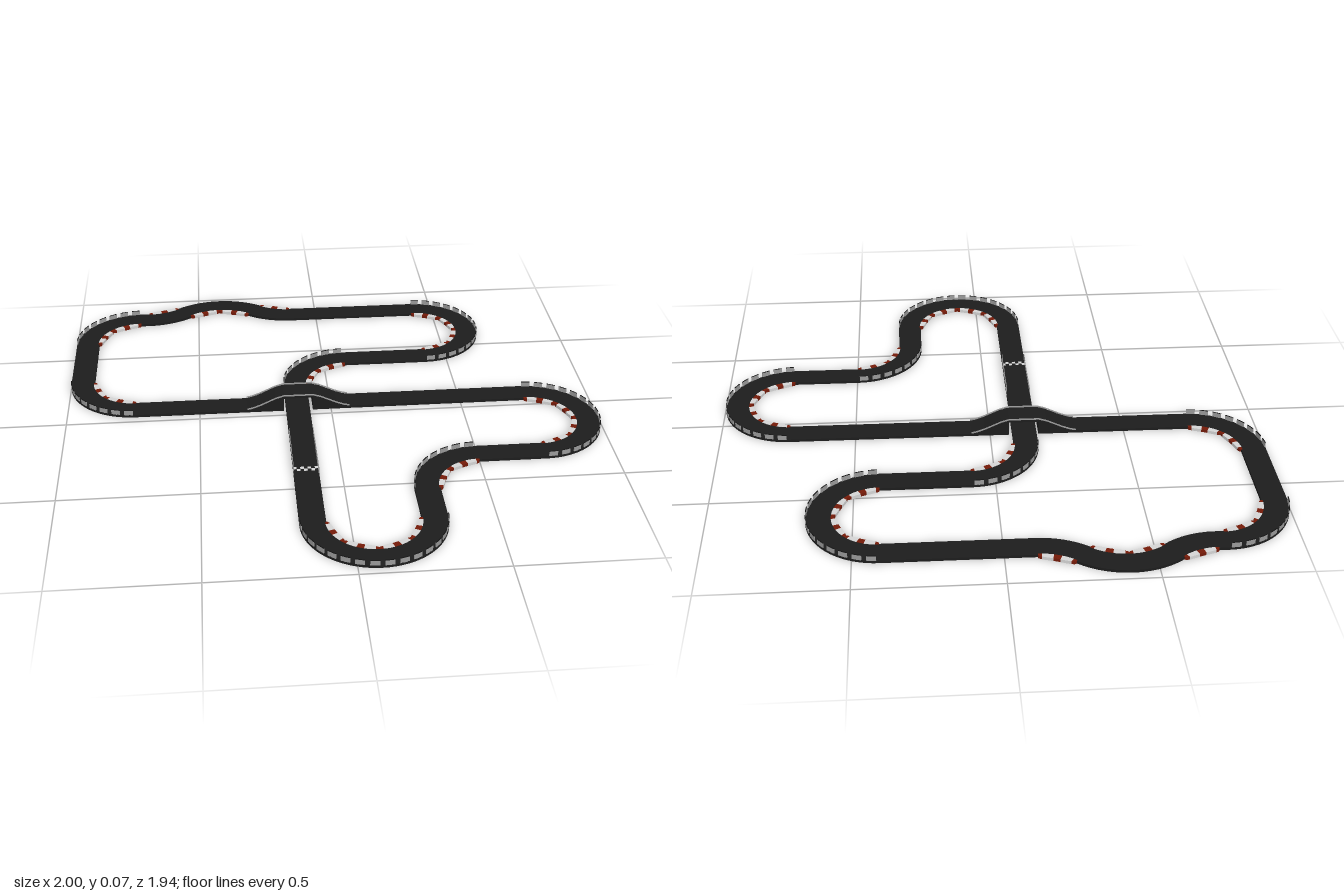
import * as THREE from 'three';
import { mergeGeometries } from 'three/addons/utils/BufferGeometryUtils.js';

const HALF = 0.0455;   // half track width
const THICK = 0.01;    // track thickness
const DEG = Math.PI / 180;

// Bends in driving order: centre x, centre z, radius, start and end angle, has barrier
const ARCS = [
  [0.085, -0.2, 0.212, 180, 270, true],
  [0.41, -0.618, 0.206, 90, -90, true],
  [-0.11, -1.074, 0.25, 90, 126.9, false],
  [-0.41, -0.674, 0.25, -53.1, -126.9, false],
  [-0.71, -1.074, 0.25, 53.1, 90, false],
  [-0.743, -0.612, 0.212, -90, -180, true],
  [-0.743, -0.29, 0.212, 180, 90, true],
  [0.745, 0.13, 0.208, -90, 90, true],
  [0.499, 0.55, 0.212, -90, -180, true],
  [0.08, 0.72, 0.207, 0, 180, true],
].map(([cx, cz, r, a0, a1, barrier]) => ({ cx, cz, r, a0, a1, barrier }));

// Flyover profile: x, top height, underside height
const BRIDGE = [
  [-0.32, 0.01, 0], [-0.3, 0.014, 0], [-0.27, 0.025, 0], [-0.21, 0.053, 0], [-0.18, 0.062, 0],
  [-0.18, 0.062, 0.053], [-0.07, 0.062, 0.053],
  [-0.07, 0.062, 0], [-0.04, 0.053, 0], [0.02, 0.025, 0], [0.05, 0.014, 0], [0.07, 0.01, 0],
];
const BRIDGE_Z = -0.078;

// Flat-faced skin over a row of equal rings (left top, right top, right bottom, left bottom)
function loft(rings, closed = false) {
  const pos = [];
  const tri = (...pts) => pts.forEach((p) => pos.push(p.x, p.y, p.z));
  const n = rings[0].length;
  for (let i = 0; i < rings.length - (closed ? 0 : 1); i++) {
    const A = rings[i], B = rings[(i + 1) % rings.length];
    for (let k = 0; k < n; k++) {
      const j = (k + 1) % n;
      tri(A[k], A[j], B[j]);
      tri(A[k], B[j], B[k]);
    }
  }
  if (!closed) {
    const A = rings[0], B = rings[rings.length - 1];
    for (let k = 1; k < n - 1; k++) {
      tri(A[0], A[k + 1], A[k]);
      tri(B[0], B[k], B[k + 1]);
    }
  }
  const g = new THREE.BufferGeometry();
  g.setAttribute('position', new THREE.Float32BufferAttribute(pos, 3));
  g.computeVertexNormals();
  return g;
}

// Ring across a path at (x, z) heading (tx, tz)
function ring(x, z, tx, tz, left, right, top, bottom) {
  const at = (d, y) => new THREE.Vector3(x - tz * d, y, z + tx * d);
  return [at(left, top), at(right, top), at(right, bottom), at(left, bottom)];
}

// Curved block between two radii and two angles of a bend
function arcBlock(arc, from, to, outer, innerAt, top, bottom, steps = 4) {
  const rings = [];
  for (let i = 0; i <= steps; i++) {
    const a = from + (to - from) * i / steps;
    const at = (r, y) => new THREE.Vector3(
      arc.cx + r * Math.cos(a * DEG), y, arc.cz + r * Math.sin(a * DEG));
    const inner = innerAt(a);
    rings.push([at(outer, top), at(inner, top), at(inner, bottom), at(outer, bottom)]);
  }
  return loft(rings);
}

function box(w, h, d, x, y, z) {
  return new THREE.BoxGeometry(w, h, d).translate(x, y, z);
}

// Whole closed road with the flyover
function roadGeometry() {
  const rings = [];
  ARCS.forEach((arc, index) => {
    const steps = Math.ceil(Math.abs(arc.a1 - arc.a0) / 5);
    const s = Math.sign(arc.a1 - arc.a0);
    for (let i = 0; i <= steps; i++) {
      const a = (arc.a0 + (arc.a1 - arc.a0) * i / steps) * DEG;
      const c = Math.cos(a), n = Math.sin(a);
      rings.push(ring(arc.cx + arc.r * c, arc.cz + arc.r * n, -n * s, c * s, -HALF, HALF, THICK, 0));
    }
    if (index === 6) {
      for (const [x, top, bottom] of BRIDGE) rings.push(ring(x, BRIDGE_Z, 1, 0, -HALF, HALF, top, bottom));
    }
  });
  return loft(rings, true);
}

export function createModel() {
  const group = new THREE.Group();
  const mat = (name, color) => Object.assign(new THREE.MeshStandardMaterial({ color }), { name });
  const asphalt = mat('asphalt', 0x1c1c1c);
  const black = mat('black', 0x121212);
  const grey = mat('barrier grey', 0x999999);
  const white = mat('white', 0xd4d4d4);
  const red = mat('kerb red', 0x741a08);
  const add = (name, geometry, material) => {
    const mesh = new THREE.Mesh(geometry, material);
    mesh.name = name;
    group.add(mesh);
  };

  add('road', roadGeometry(), asphalt);

  // Kerbs inside every bend (long white and short red blocks), barrier panels outside the main ones
  const whites = [], reds = [], panels = [], caps = [];
  for (const arc of ARCS) {
    const lo = Math.min(arc.a0, arc.a1), span = Math.abs(arc.a1 - arc.a0);
    const edge = arc.r - HALF;
    const sections = Math.max(1, Math.round(span / 45));
    const width = span / sections;
    const inner = (a) => edge - 0.004 - 0.013 * Math.sqrt(Math.abs(Math.sin(Math.PI * (a - lo) / width)));
    const pairs = sections * 2, pitch = span / pairs;
    for (let i = 0; i < pairs; i++) {
      const a = lo + pitch * i, b = a + 0.2 * pitch, c = a + 0.8 * pitch;
      reds.push(arcBlock(arc, a, b, edge + 0.004, inner, 0.0112, 0));
      whites.push(arcBlock(arc, b, c, edge + 0.004, (t) => inner(t) - 0.001, 0.0115, 0));
      reds.push(arcBlock(arc, c, a + pitch, edge + 0.004, inner, 0.0112, 0));
    }
    if (!arc.barrier) continue;
    const r = arc.r + HALF;
    const count = Math.round(span / 11.25);
    for (let i = 0; i < count; i++) {
      const a = lo + span * (i + 0.17) / count, b = a + 0.66 * span / count;
      panels.push(arcBlock(arc, a, b, r, () => r - 0.003, 0.028, 0.009, 2));
      caps.push(arcBlock(arc, a, b, r, () => r - 0.003, 0.0295, 0.028, 2));
    }
  }
  add('whiteKerbs', mergeGeometries(whites), white);
  add('redKerbs', mergeGeometries(reds), red);
  add('barrierPanels', mergeGeometries(panels), grey);
  add('barrierCaps', mergeGeometries(caps), black);

  // Guard rails along both sides of the flyover
  const rails = [-1, 1].map((side) => loft(BRIDGE.map(([x, top]) =>
    ring(x, BRIDGE_Z + side * HALF, 1, 0, -0.0015, 0.0015, top + 0.006, top + 0.001))));
  add('bridgeRails', mergeGeometries(rails), grey);

  // Chequered start line
  const checks = [];
  const cell = 2 * HALF / 7;
  for (let row = 0; row < 2; row++) {
    for (let i = row; i < 7; i += 2) {
      checks.push(box(cell, 0.001, cell, -0.127 - HALF + (i + 0.5) * cell, THICK + 0.0005, 0.384 + row * cell));
    }
  }
  add('startLine', mergeGeometries(checks), white);

  // Post-and-rail fences on both sides of the start straight
  const fence = [];
  for (const side of [-1, 1]) {
    const x = -0.127 + side * (HALF - 0.001);
    for (let i = 0; i <= 12; i++) fence.push(box(0.002, 0.026, 0.007, x, 0.022, 0.155 + i * 0.022));
    for (const y of [0.0145, 0.024]) fence.push(box(0.0015, 0.006, 0.27, x, y, 0.287));
  }
  add('startFences', mergeGeometries(fence), grey);

  return group;
}
